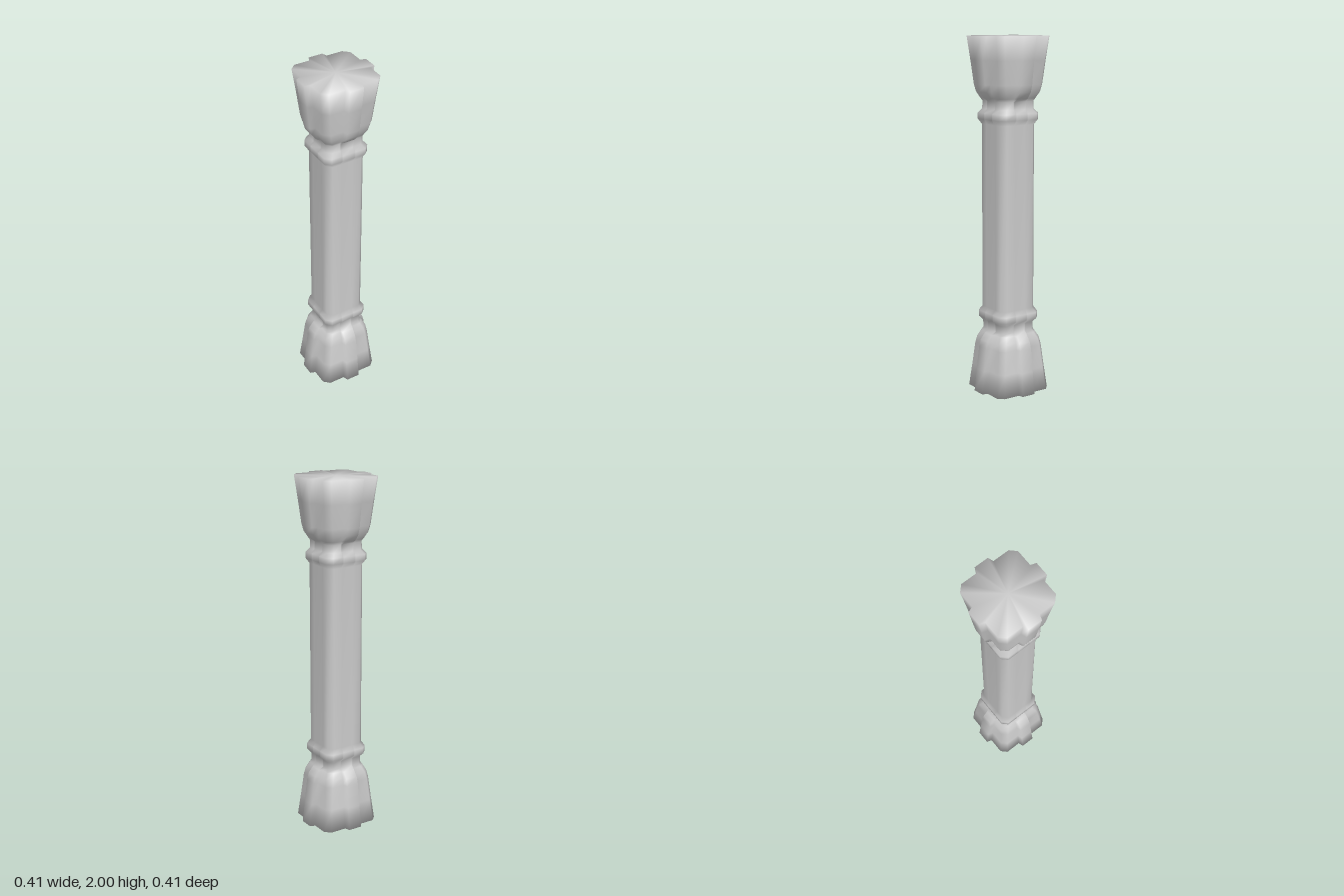
import * as THREE from 'three';

// Lower half of the column: [height, face distance, corner start, rib distance, rib base half-width, rib tip half-width]
const HALF = [
  [0, 0.175, 0.143, 0.205, 0.05, 0.04],
  [0.13, 0.16, 0.13, 0.19, 0.047, 0.038],
  [0.26, 0.147, 0.117, 0.175, 0.044, 0.036],
  [0.3, 0.139, 0.109, 0.164, 0.043, 0.035],
  [0.335, 0.121, 0.094, 0.137, 0.042, 0.034],
  [0.352, 0.111, 0.086, 0.112, 0.042, 0.034],
  [0.395, 0.113, 0.086, 0.113, 0.042, 0.034],
  [0.418, 0.132, 0.102, 0.132, 0.042, 0.034],
  [0.452, 0.132, 0.102, 0.132, 0.042, 0.034],
  [0.48, 0.115, 0.087, 0.115, 0.042, 0.034],
];

// One cross-section: a chamfered square with a rib in the middle of each side
function section([y, face, corner, rib, base, tip]) {
  const side = [[face, -corner], [face, -base], [rib, -tip], [rib, tip], [face, base], [face, corner]];
  const points = [];
  for (let k = 0; k < 4; k++) {
    const c = [1, 0, -1, 0][k], s = [0, 1, 0, -1][k];
    for (const [u, v] of side) points.push([u * c - v * s, y, u * s + v * c]);
  }
  return points;
}

// Skin the cross-sections and close both ends
function loft(rings) {
  const n = rings[0].length, last = rings.length - 1;
  const positions = rings.flat(2), index = [];
  for (let r = 0; r < last; r++) {
    for (let i = 0; i < n; i++) {
      const a = r * n + i, b = r * n + (i + 1) % n;
      index.push(a, a + n, b, b, a + n, b + n);
    }
  }
  const bottom = rings.length * n, top = bottom + 1;
  positions.push(0, rings[0][0][1], 0, 0, rings[last][0][1], 0);
  for (let i = 0; i < n; i++) {
    const j = (i + 1) % n;
    index.push(bottom, i, j, top, last * n + j, last * n + i);
  }
  const geometry = new THREE.BufferGeometry();
  geometry.setAttribute('position', new THREE.Float32BufferAttribute(positions, 3));
  geometry.setIndex(index);
  geometry.computeVertexNormals();
  return geometry;
}

export function createModel() {
  const group = new THREE.Group();
  group.name = 'column';

  // The capital mirrors the base, with the shaft between the two collars
  const mirrored = HALF.map(([y, ...rest]) => [2 - y, ...rest]).reverse();
  const rings = [...HALF, ...mirrored].map(section);

  const column = new THREE.Mesh(loft(rings), new THREE.MeshStandardMaterial({ color: 0xcccccc }));
  column.name = 'columnBody';
  group.add(column);
  return group;
}
